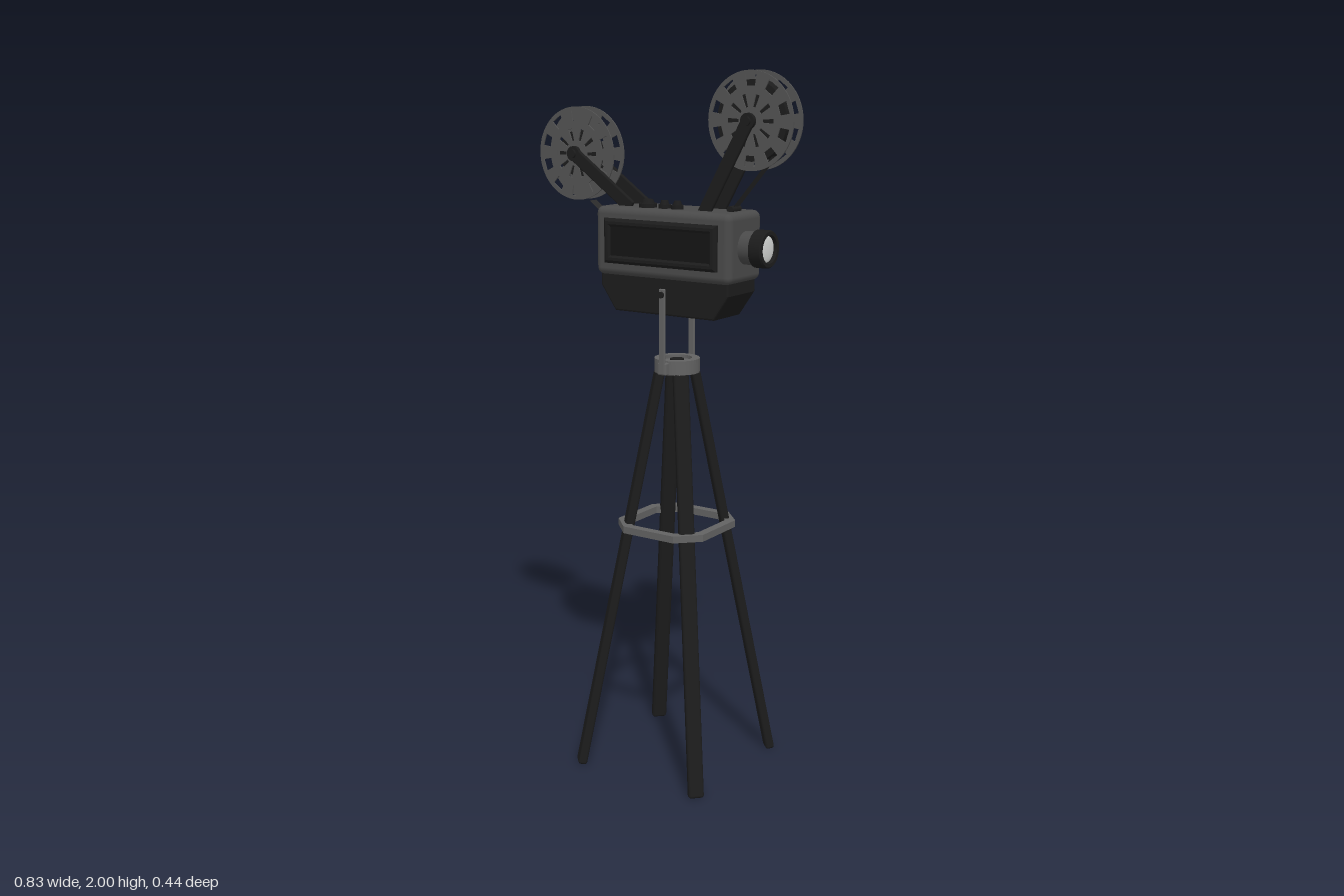
import * as THREE from 'three';
import { RoundedBoxGeometry } from 'three/addons/geometries/RoundedBoxGeometry.js';

const paint = (name, color, extra = {}) => {
  const m = new THREE.MeshStandardMaterial({ color, ...extra });
  m.name = name;
  return m;
};

export function createModel() {
  const black = paint('black', 0x1c1c1c);
  const panelBlack = paint('panel black', 0x141414);
  const casing = paint('casing grey', 0x4a4a4a);
  const reelGrey = paint('reel grey', 0x525252);
  const metal = paint('metal grey', 0x626262);
  const glass = paint('glass', 0xd4d6d4);
  const filmMat = paint('film', 0x2a2a2a, { side: THREE.DoubleSide });

  const model = new THREE.Group();
  model.name = 'filmCamera';
  const add = (name, geo, mat, x = 0, y = 0, z = 0, parent = model) => {
    const mesh = new THREE.Mesh(geo, mat);
    mesh.name = name;
    mesh.position.set(x, y, z);
    parent.add(mesh);
    return mesh;
  };
  const box = (w, h, d, r = 0.005) => new RoundedBoxGeometry(w, h, d, 3, r);
  const cylZ = (r, h, n = 32) => new THREE.CylinderGeometry(r, r, h, n).rotateX(Math.PI / 2);
  const polygon = (pts, Type = THREE.Shape) => new Type(pts.map(p => new THREE.Vector2(p[0], p[1])));
  const CX = 0.04; // tripod and body axis

  // Tripod legs, splayed along the diagonals
  const top = 0.05, foot = 0.285, rise = 1.17;
  for (let i = 0; i < 4; i++) {
    const pivot = new THREE.Group();
    pivot.name = 'tripodLeg';
    pivot.position.x = CX;
    pivot.rotation.y = Math.PI / 4 + i * Math.PI / 2;
    const leg = add('legBar', box(0.026, Math.hypot(rise, foot - top), 0.044, 0.008), black,
      (top + foot) / 2, 0.005 + rise / 2, 0, pivot);
    leg.rotation.z = Math.atan2(foot - top, rise);
    model.add(pivot);
  }

  // Octagonal brace around the legs
  const octagon = (h, c) => [[h, -h + c], [h, h - c], [h - c, h], [-h + c, h],
    [-h, h - c], [-h, -h + c], [-h + c, -h], [h - c, -h]];
  const braceShape = polygon(octagon(0.145, 0.06));
  braceShape.holes.push(polygon(octagon(0.12, 0.05), THREE.Path));
  add('legBrace', new THREE.ExtrudeGeometry(braceShape, { depth: 0.02, bevelEnabled: false })
    .rotateX(-Math.PI / 2), metal, CX, 0.718, 0);

  // Tripod head with a raised rim
  add('tripodHead', new THREE.CylinderGeometry(0.064, 0.064, 0.03, 40), metal, CX, 1.187, 0);
  const rim = new THREE.Shape().absarc(0, 0, 0.064, 0, Math.PI * 2);
  rim.holes.push(new THREE.Path().absarc(0, 0, 0.042, 0, Math.PI * 2, true));
  add('headRim', new THREE.ExtrudeGeometry(rim, { depth: 0.01, bevelEnabled: false, curveSegments: 20 })
    .rotateX(-Math.PI / 2), metal, CX, 1.202, 0);
  add('headPin', new THREE.CylinderGeometry(0.02, 0.02, 0.008, 24), black, CX, 1.205, 0);

  // Yoke posts carrying the body
  for (const s of [1, -1]) {
    add('yokePost', box(0.02, 0.24, 0.008, 0.003), metal, CX, 1.294, s * 0.074);
    add('yokeFoot', box(0.028, 0.035, 0.024, 0.004), metal, CX, 1.19, s * 0.065);
    add('yokeBolt', cylZ(0.009, 0.008, 16), black, CX, 1.398, s * 0.08);
  }

  // Tapered base under the body
  const base = polygon([[-0.12, 1.345], [0.2, 1.345], [0.245, 1.41], [0.245, 1.45], [-0.165, 1.45], [-0.165, 1.41]]);
  add('bodyBase', new THREE.ExtrudeGeometry(base,
    { depth: 0.13, bevelThickness: 0.005, bevelSize: 0.005, bevelSegments: 2 }), black, 0, 0, -0.065);

  // Body casing
  add('bodyCasing', box(0.442, 0.19, 0.168, 0.02), casing, 0.041, 1.535, 0);

  // Raised side doors: bevelled frame and inset plate
  const rect = (w, h, Type) => polygon([[-w, -h], [w, -h], [w, h], [-w, h]], Type);
  for (const s of [1, -1]) {
    const frame = rect(0.176, 0.054);
    frame.holes.push(rect(0.168, 0.046, THREE.Path));
    const geo = new THREE.ExtrudeGeometry(frame,
      { depth: 0.01, bevelThickness: 0.006, bevelSize: 0.008, bevelSegments: 1 });
    const door = add('doorFrame', geo, black, 0.041, 1.537, s * 0.081);
    if (s < 0) door.rotation.y = Math.PI;
    add('doorPanel', new THREE.BoxGeometry(0.345, 0.1, 0.009), panelBlack, 0.041, 1.537, s * 0.088);
  }

  // Lens: stepped barrel with glass
  const lensProfile = [[0, 0], [0.045, 0], [0.045, 0.034], [0.051, 0.036], [0.051, 0.07],
    [0.048, 0.074], [0.038, 0.074], [0.036, 0.062], [0, 0.062]];
  for (const [name, a, b, mat] of [['lensNeck', 0, 3, casing], ['lensHood', 2, 9, black]]) {
    for (let i = a; i < b - 1; i++) { // separate bands keep the steps crisp
      const band = lensProfile.slice(i, i + 2).map(p => new THREE.Vector2(p[0], p[1]));
      add(name, new THREE.LatheGeometry(band, 36).rotateZ(-Math.PI / 2), mat, 0.262, 1.535, 0);
    }
  }
  add('lensGlass', new THREE.SphereGeometry(0.036, 32, 8, 0, Math.PI * 2, 0, Math.PI / 2)
    .scale(1, 0.18, 1).rotateZ(-Math.PI / 2), glass, 0.325, 1.535, 0);

  // Control knobs on top
  for (const [x, r] of [[-0.032, 0.025], [0.023, 0.017], [0.065, 0.017]]) {
    add('knobCollar', new THREE.CylinderGeometry(r, r, 0.012, 24), black, x, 1.635, 0.037);
    add('knobCap', new THREE.CylinderGeometry(r * 0.55, r * 0.75, 0.012, 20), black, x, 1.646, 0.037);
  }

  // Slotted reel plate: square windows at the rim, narrow slots inside
  const plate = new THREE.Shape().absarc(0, 0, 0.13, 0, Math.PI * 2);
  const slot = (angle, r0, r1, half0, half1) => {
    const c = Math.cos(angle), s = Math.sin(angle);
    plate.holes.push(polygon([[r0, -half0], [r0, half0], [r1, half1], [r1, -half1]]
      .map(([u, v]) => [u * c - v * s, u * s + v * c]), THREE.Path));
  };
  for (let i = 0; i < 10; i++) {
    const a = (i + 0.5) * Math.PI / 5;
    slot(a, 0.09, 0.118, 0.013, 0.017);
    slot(a + Math.PI / 10, 0.036, 0.07, 0.004, 0.006);
  }
  const plateGeo = new THREE.ExtrudeGeometry(plate, { depth: 0.004, bevelEnabled: false, curveSegments: 32 })
    .translate(0, 0, -0.002);

  // Reels with wound film, each held by a pair of arms
  const reels = [
    { name: 'rearReel', x: -0.288, y: 1.766, wound: 0.064, from: [-0.09, 1.625] },
    { name: 'frontReel', x: 0.284, y: 1.87, wound: 0.106, from: [0.145, 1.615] },
  ];
  for (const { name, x, y, wound, from } of reels) {
    const reel = new THREE.Group();
    reel.name = name;
    reel.position.set(x, y, -0.002);
    model.add(reel);
    add('woundFilm', cylZ(wound, 0.038, 48), black, 0, 0, 0, reel);
    add('axle', cylZ(0.012, 0.1, 20), black, 0, 0, 0, reel);
    const dx = from[0] - x, dy = from[1] - y, len = Math.hypot(dx, dy);
    for (const s of [1, -1]) {
      add('reelPlate', plateGeo, reelGrey, 0, 0, s * 0.024, reel);
      const arm = add('reelArm', box(len, 0.038, 0.012, 0.004), black, dx / 2, dy / 2, s * 0.037, reel);
      arm.rotation.z = Math.atan2(dy, dx);
      add('armEnd', cylZ(0.021, 0.012, 24), black, 0, 0, s * 0.037, reel);
    }
  }

  // Film strips between the reels and the body, with guide rollers
  for (const [x0, y0, x1, y1] of [[-0.25, 1.635, -0.183, 1.585], [0.345, 1.78, 0.222, 1.635]]) {
    const strip = add('filmStrip', new THREE.PlaneGeometry(Math.hypot(x1 - x0, y1 - y0), 0.032)
      .rotateX(-Math.PI / 2), filmMat, (x0 + x1) / 2, (y0 + y1) / 2, -0.002);
    strip.rotation.z = Math.atan2(y1 - y0, x1 - x0);
    add('filmRoller', cylZ(0.01, 0.045, 16), black, x1, y1, -0.002);
  }
  add('filmSlot', new THREE.BoxGeometry(0.008, 0.024, 0.06), black, -0.181, 1.585, -0.002);

  return model;
}
